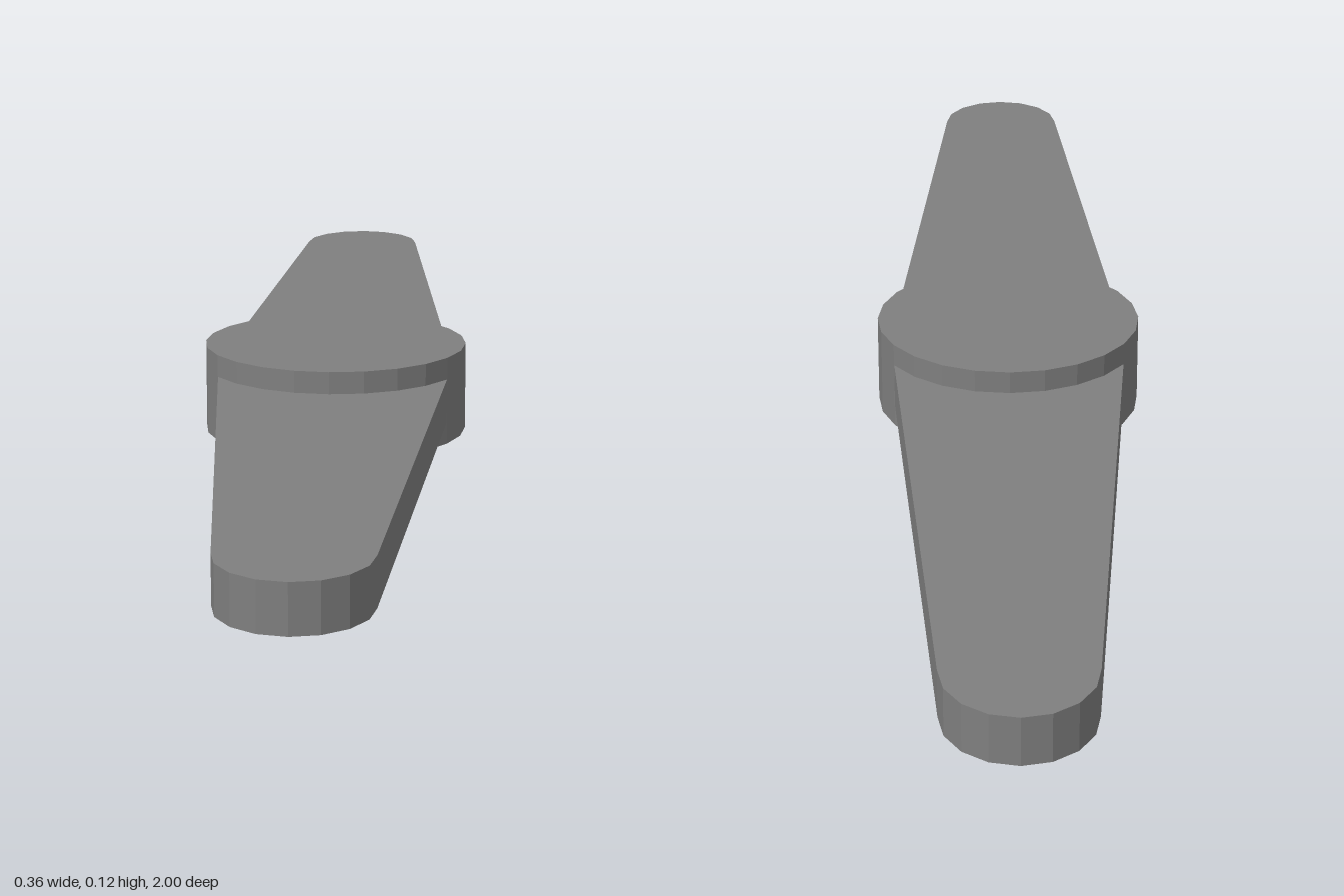
import * as THREE from 'three';

const HUB_R = 0.18, HUB_H = 0.12, HUB_DEPTH_SCALE = 1.02;
const TIP_HALF = 0.09, TIP_LENGTH = 0.1, ROOT_HALF = 0.163, BLADE_H = 0.06;

export function createModel() {
  const group = new THREE.Group();
  group.name = 'twoBladeRotor';
  const material = new THREE.MeshStandardMaterial({ color: 0x7f7f7f, flatShading: true });

  // Round hub, thicker than the blades and very slightly longer along them
  const hubGeometry = new THREE.CylinderGeometry(HUB_R, HUB_R, HUB_H, 24);
  hubGeometry.scale(1, 1, HUB_DEPTH_SCALE);
  const hub = new THREE.Mesh(hubGeometry, material);
  hub.name = 'hub';
  hub.position.y = HUB_H / 2;
  group.add(hub);

  // Tapered blade outline with a rounded tip, starting at the hub's centre
  const outline = new THREE.Shape();
  outline.moveTo(-ROOT_HALF, 0);
  outline.lineTo(ROOT_HALF, 0);
  outline.lineTo(TIP_HALF, 1 - TIP_LENGTH);
  outline.absellipse(0, 1 - TIP_LENGTH, TIP_HALF, TIP_LENGTH, 0, Math.PI, false, 0);
  outline.closePath();
  const bladeGeometry = new THREE.ExtrudeGeometry(outline, {
    depth: BLADE_H, bevelEnabled: false, curveSegments: 4,
  });
  bladeGeometry.rotateX(-Math.PI / 2);

  // Two opposite blades, centred on the hub's height
  ['backBlade', 'frontBlade'].forEach((name, i) => {
    const blade = new THREE.Mesh(bladeGeometry, material);
    blade.name = name;
    blade.rotation.y = i * Math.PI;
    blade.position.y = (HUB_H - BLADE_H) / 2;
    group.add(blade);
  });

  return group;
}
